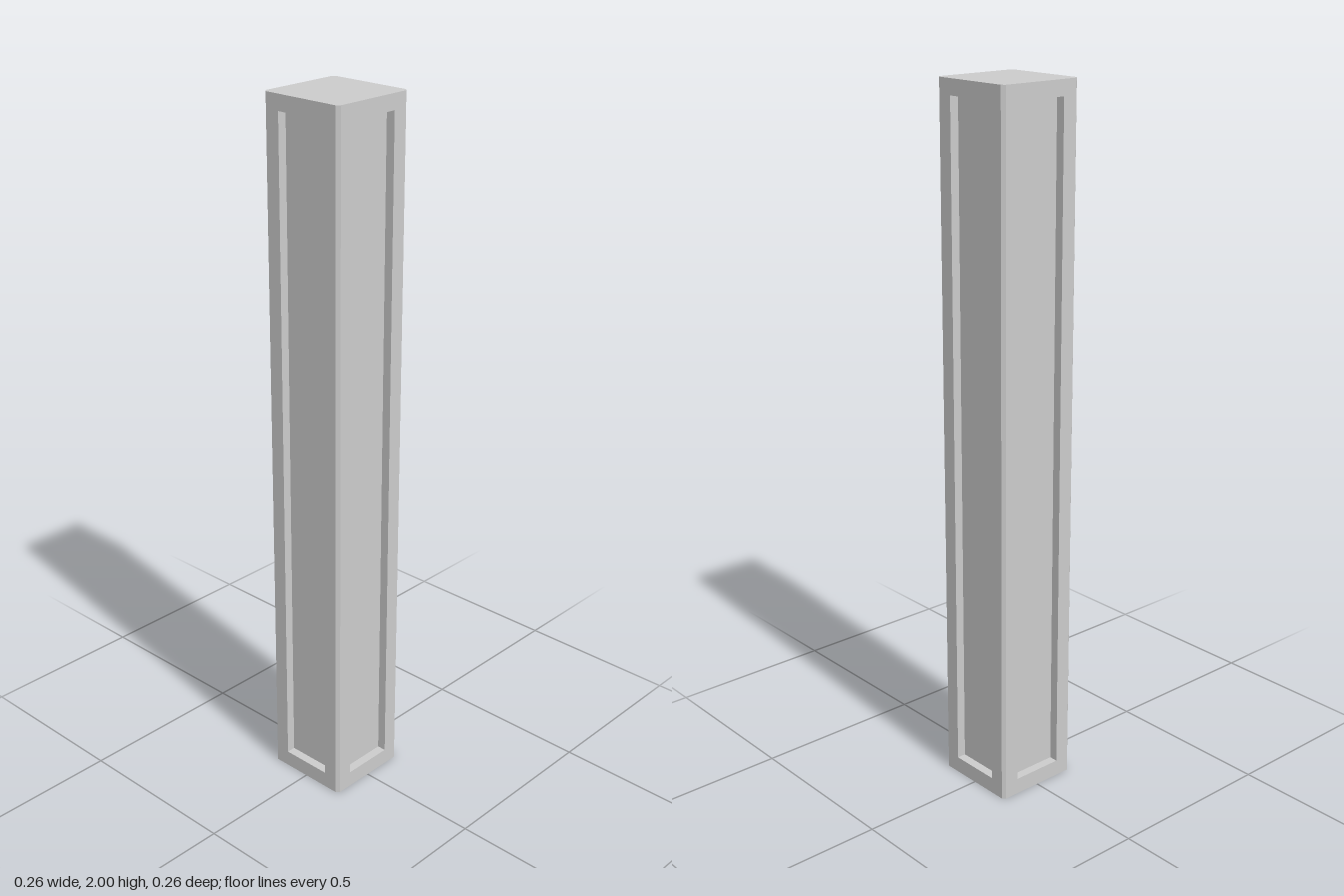
import * as THREE from 'three';

const HALF = 0.128;      // half width of the pillar
const CHAMFER = 0.009;   // cut on the vertical corners
const PANEL = 0.076;     // half width of each sunken panel
const DEPTH = 0.026;     // how far the panels are sunk
const PANEL_BOTTOM = 0.047, PANEL_TOP = 1.957, HEIGHT = 2;

// Cross-section: one side's points, turned four times about the axis
function section(side) {
  const points = [];
  for (let i = 0; i < 4; i++) {
    for (const [x, y] of side) {
      points.push(new THREE.Vector2(x, y).rotateAround(new THREE.Vector2(), i * Math.PI / 2));
    }
  }
  return new THREE.Shape(points);
}

export function createModel() {
  const group = new THREE.Group();
  group.name = 'pillar';
  const material = new THREE.MeshStandardMaterial({ color: 0xcccccc, flatShading: true });

  // Upright prism between two heights
  function addPrism(name, shape, y0, y1) {
    const geometry = new THREE.ExtrudeGeometry(shape, { depth: y1 - y0, bevelEnabled: false });
    geometry.rotateX(-Math.PI / 2).translate(0, y0, 0);
    const mesh = new THREE.Mesh(geometry, material);
    mesh.name = name;
    group.add(mesh);
  }

  const edge = HALF - CHAMFER;
  const solid = section([[HALF, -edge], [HALF, edge]]);
  const notched = section([
    [HALF, -edge], [HALF, -PANEL], [HALF - DEPTH, -PANEL],
    [HALF - DEPTH, PANEL], [HALF, PANEL], [HALF, edge],
  ]);

  // Solid ends close the sunken panels of the shaft
  addPrism('bottomRail', solid, 0, PANEL_BOTTOM);
  addPrism('panelledShaft', notched, PANEL_BOTTOM, PANEL_TOP);
  addPrism('topRail', solid, PANEL_TOP, HEIGHT);
  return group;
}
